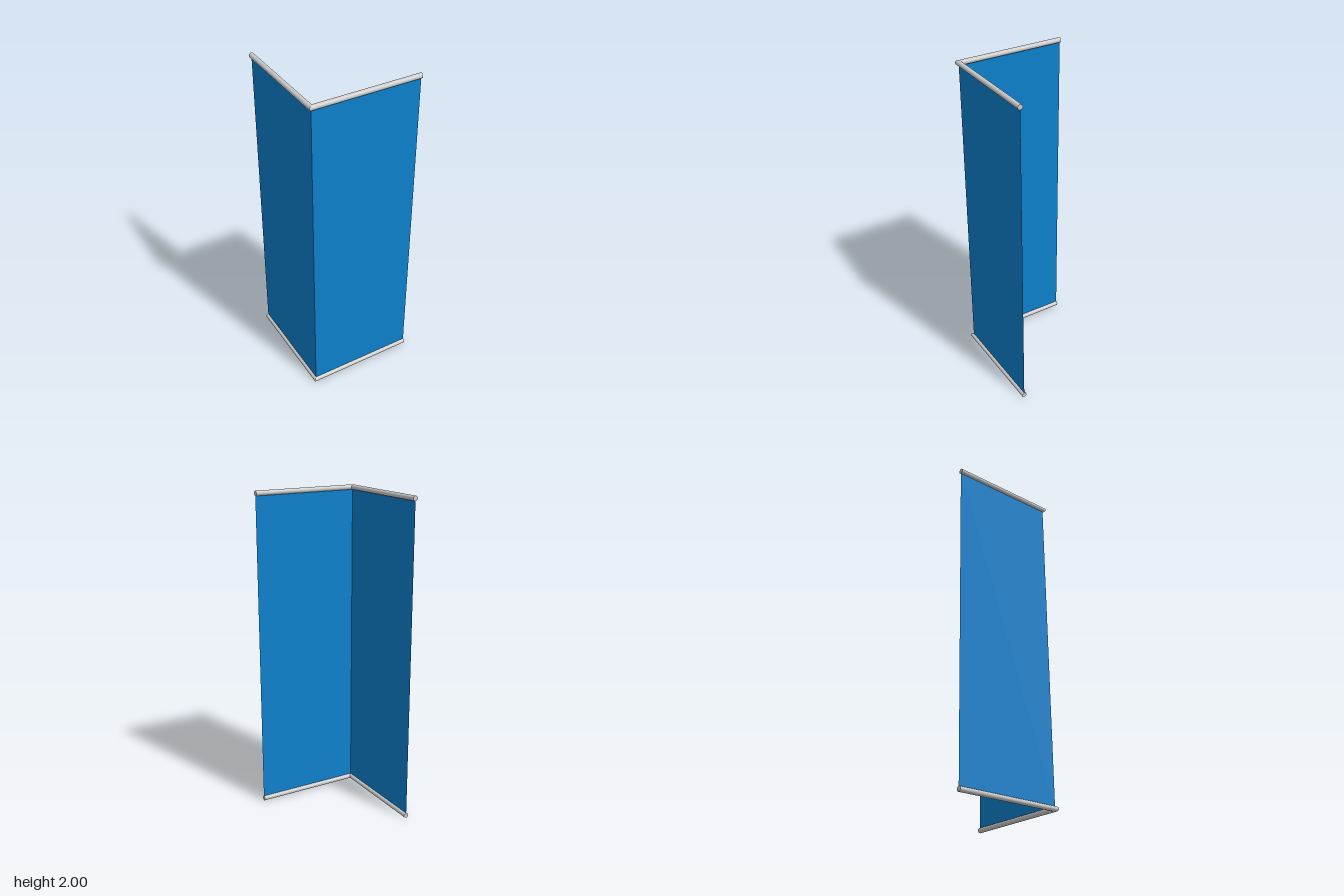
import * as THREE from 'three';

const HEIGHT = 2, R = 0.0155, CORNER = 0.325, LENGTH = 0.665;

const railMaterial = new THREE.MeshStandardMaterial({ color: 0xcccccc });
const panelMaterial = new THREE.MeshStandardMaterial({ color: 0x0d80cc, side: THREE.DoubleSide });

// Round rail along +x; its end at the origin is cut at 45 degrees for the corner joint
function mitredRail(outward) {
  const geometry = new THREE.CylinderGeometry(R, R, LENGTH, 32);
  geometry.rotateZ(-Math.PI / 2).translate(LENGTH / 2, 0, 0);
  const p = geometry.attributes.position;
  for (let i = 0; i < p.count; i++) {
    if (p.getX(i) < LENGTH / 2) p.setX(i, -outward * p.getZ(i));
  }
  return geometry;
}

// One wing: a thin sheet held between a top and a bottom rail
function wing(name, outward) {
  const group = new THREE.Group();
  group.name = name;

  const sheetHeight = HEIGHT - 2 * R;
  const sheet = new THREE.Mesh(new THREE.PlaneGeometry(LENGTH, sheetHeight), panelMaterial);
  sheet.name = name + 'Sheet';
  sheet.position.set(LENGTH / 2, HEIGHT / 2, 0);
  group.add(sheet);

  const railGeometry = mitredRail(outward);
  for (const [part, y] of [['BottomRail', R], ['TopRail', HEIGHT - R]]) {
    const rail = new THREE.Mesh(railGeometry, railMaterial);
    rail.name = name + part;
    rail.position.y = y;
    group.add(rail);
  }

  group.position.set(-CORNER, 0, CORNER);
  return group;
}

export function createModel() {
  const model = new THREE.Group();
  model.name = 'cornerScreen';

  // Front wing runs along x, side wing turns back along -z
  const front = wing('frontWing', 1);
  const side = wing('sideWing', -1);
  side.rotation.y = Math.PI / 2;
  model.add(front, side);

  return model;
}
